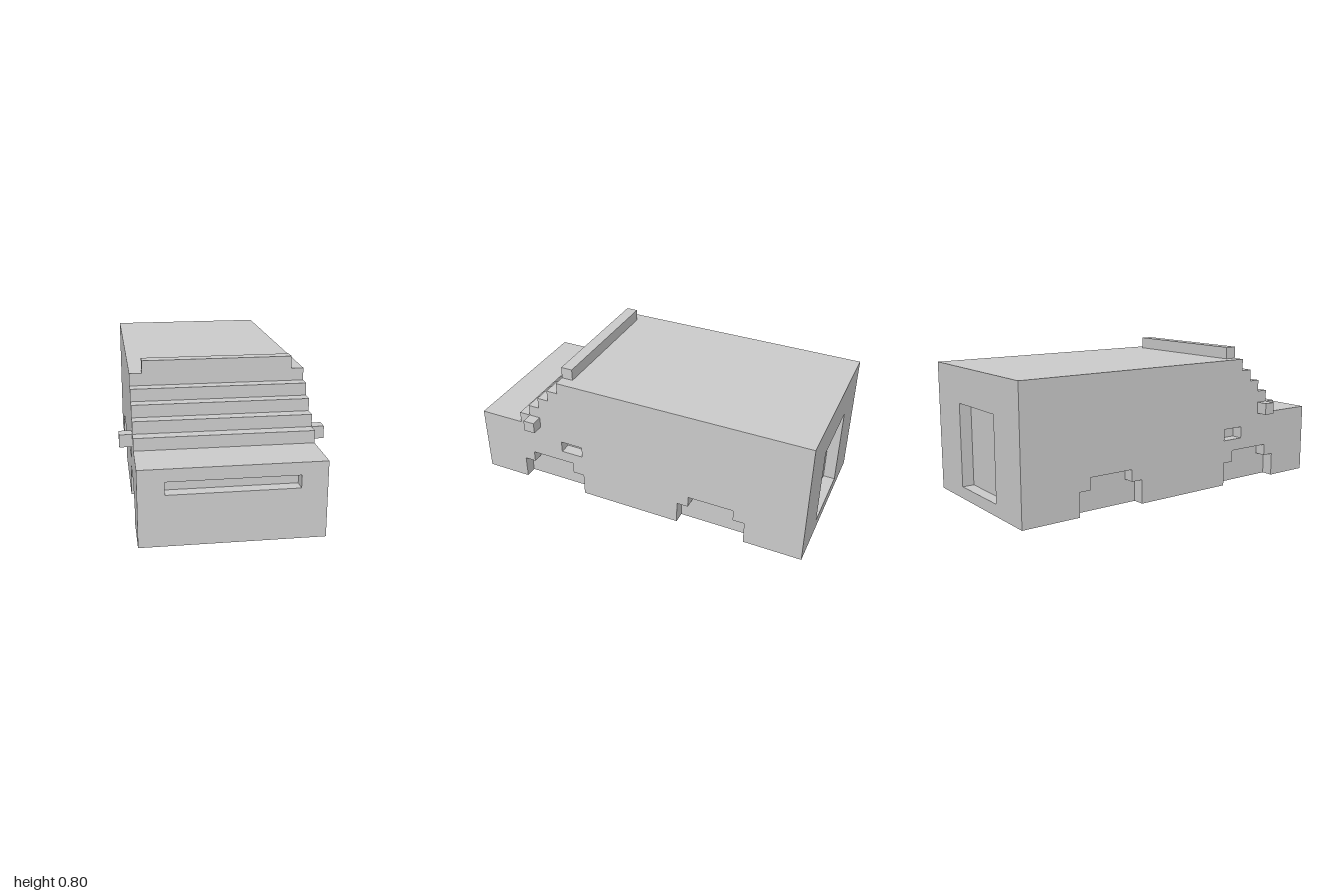
import * as THREE from 'three';

const U = 1 / 15; // one block; all sizes below are in blocks
const material = new THREE.MeshStandardMaterial({ color: 0xcccccc, flatShading: true });

const toPath = (points, Type = THREE.Shape) => new Type(points.map(([a, b]) => new THREE.Vector2(a, b)));
const rect = (a0, b0, a1, b1) => [[a0, b0], [a1, b0], [a1, b1], [a0, b1]];

export function createModel() {
  const group = new THREE.Group();

  function add(name, geometry) {
    geometry.scale(U, U, U);
    const mesh = new THREE.Mesh(geometry, material);
    mesh.name = name;
    group.add(mesh);
  }

  function box(name, x0, x1, y0, y1, z0, z1) {
    add(name, new THREE.BoxGeometry(x1 - x0, y1 - y0, z1 - z0)
      .translate((x0 + x1) / 2, (y0 + y1) / 2, (z0 + z1) / 2));
  }

  function plate(outline, hole, depth) {
    const shape = toPath(outline);
    if (hole) shape.holes.push(toPath(hole, THREE.Path));
    return new THREE.ExtrudeGeometry(shape, { depth, bevelEnabled: false });
  }

  // Outline drawn in (z, y), extruded across x from x0 to x1
  function sidePlate(name, outline, hole, x0, x1) {
    add(name, plate(outline, hole, x1 - x0).rotateY(-Math.PI / 2).translate(x1, 0, 0));
  }

  // Outline above the floor: hood, stepped windscreen, roof
  function upperOutline(front, back) {
    const points = [[front, 0], [front, 6]];
    for (let i = 0; i < 5; i++) points.push([11 - i, 6 + i], [11 - i, 7 + i]);
    points.push([back, 11], [back, 0]);
    return points;
  }

  // Stepped wheel arch cut into the lower edge, running from back to front
  const arch = (z) => [[z - 3, 0], [z - 3, 2], [z - 2, 2], [z - 2, 3],
    [z + 2, 3], [z + 2, 2], [z + 3, 2], [z + 3, 0]];

  // Solid middle, which forms the floor of every recess
  sidePlate('bodyCore', upperOutline(14, -14), null, -6, 6);

  // Side walls with wheel arches and handle recess, and the mirrors
  const wall = [...upperOutline(15, -15), ...arch(-7), ...arch(8)];
  const handle = rect(5, 4, 7, 5);
  sidePlate('leftSide', wall, handle, 6, 7);
  sidePlate('rightSide', wall, handle, -7, -6);
  box('leftMirror', 7, 8, 6, 7, 9, 10);
  box('rightMirror', -8, -7, 6, 7, 9, 10);

  // Nose with grille slot, rear with door recess
  add('nose', plate(rect(-6, 0, 6, 6), rect(-5, 4, 5, 5), 1).translate(0, 0, 14));
  add('rear', plate(rect(-6, 0, 6, 11), rect(-3, 1, 3, 8), 1).translate(0, 0, -15));

  // Light bar on the front of the roof
  box('roofBar', -6, 6, 11, 12, 6, 7);

  return group;
}
